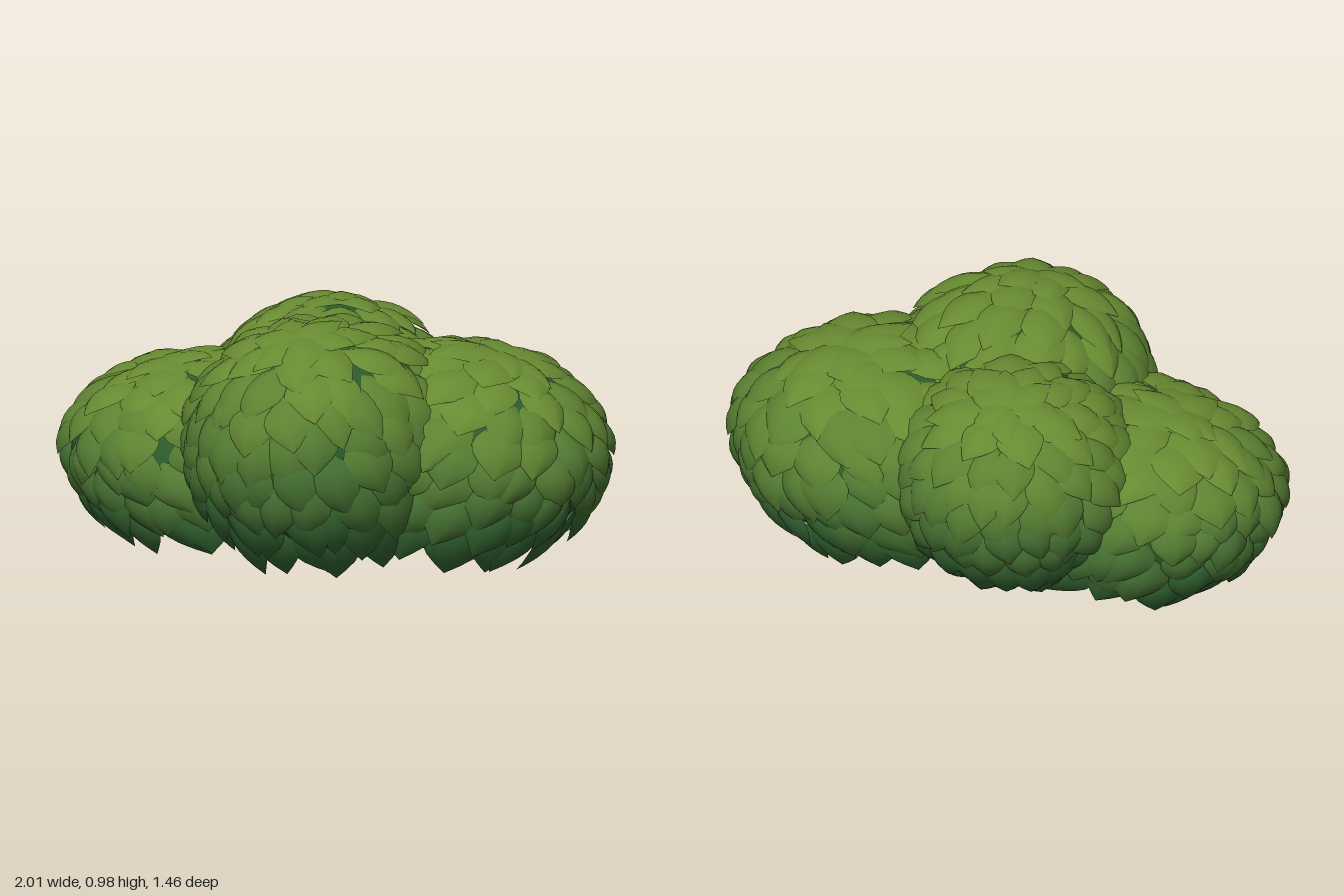
import * as THREE from 'three';
import { mergeGeometries } from 'three/addons/utils/BufferGeometryUtils.js';

// centre, outer radii and growth axis of each foliage lobe
const LOBES = [
  { name: 'frontLobe', c: [0.07, 0.55, 0.2], r: [0.475, 0.425, 0.515], axis: [-0.03, 1, 0.3] },
  { name: 'rightLobe', c: [-0.45, 0.4, 0.01], r: [0.54, 0.34, 0.475], axis: [-0.3, 1, 0.05] },
  { name: 'leftLobe', c: [0.42, 0.475, -0.14], r: [0.565, 0.38, 0.505], axis: [0.3, 1, -0.1] },
  { name: 'backLobe', c: [-0.13, 0.54, -0.28], r: [0.44, 0.37, 0.445], axis: [-0.08, 1, -0.35] },
];
const TINTS = 5;
const FIT = 1.075; // leaves stand this far out from the core
const UP = new THREE.Vector3(0, 1, 0);

let seed = 7;
const rand = () => (seed = (seed * 16807) % 2147483647) / 2147483647;
const jitter = (a) => (rand() - 0.5) * 2 * a;

// a pointed, cambered leaf laid along the lobe surface from a polar position
function leafGeometry(lobe, tilt, theta, phi, length, halfWidth) {
  const d = new THREE.Vector3(Math.sin(theta) * Math.cos(phi), Math.cos(theta), Math.sin(theta) * Math.sin(phi));
  const t = new THREE.Vector3(Math.cos(theta) * Math.cos(phi), -Math.sin(theta), Math.cos(theta) * Math.sin(phi));
  const b = new THREE.Vector3(-Math.sin(phi), 0, Math.cos(phi));
  const turn = jitter(0.22);
  t.applyAxisAngle(d, turn);
  b.applyAxisAngle(d, turn);
  const rise = 0.09 + jitter(0.03);
  const hang = 0.16 * THREE.MathUtils.smoothstep(theta, 1.2, 1.9); // lowest tips leave the surface
  const roll = jitter(0.02);
  const nS = 8, nU = 4, pos = [], index = [];
  for (let i = 0; i <= nS; i++) {
    const s = i / nS;
    const w = halfWidth * Math.pow(Math.sin(Math.PI * s), 1.1) + 0.001;
    for (let j = 0; j <= nU; j++) {
      const u = (j / nU) * 2 - 1;
      const v = d.clone().multiplyScalar(Math.cos(s * length))
        .addScaledVector(t, Math.sin(s * length))
        .addScaledVector(b, u * w).normalize().applyQuaternion(tilt);
      const camber = (0.06 * (1 - Math.abs(u) ** 1.5) + roll * u) * Math.sin(Math.PI * s);
      v.multiplyScalar((0.985 + rise * s + hang * s * s + camber) / FIT);
      pos.push(lobe.c[0] + v.x * lobe.r[0], lobe.c[1] + v.y * lobe.r[1], lobe.c[2] + v.z * lobe.r[2]);
      if (i < nS && j < nU) {
        const a = i * (nU + 1) + j, n = a + nU + 1;
        index.push(a, a + 1, n, a + 1, n + 1, n);
      }
    }
  }
  const g = new THREE.BufferGeometry();
  g.setAttribute('position', new THREE.Float32BufferAttribute(pos, 3));
  g.setIndex(index);
  g.computeVertexNormals();
  // height of the outward direction at mid leaf picks the tint
  const mid = d.clone().addScaledVector(t, length / 2).normalize().applyQuaternion(tilt);
  return { g, height: mid.y };
}

function createLobe(lobe, leafMaterials, coreMaterial) {
  const group = new THREE.Group();
  group.name = lobe.name;
  const tilt = new THREE.Quaternion().setFromUnitVectors(UP, new THREE.Vector3(...lobe.axis).normalize());

  // smooth core, bare underneath
  const core = new THREE.Mesh(new THREE.SphereGeometry(1, 40, 28), coreMaterial);
  core.name = 'foliageCore';
  core.scale.set(...lobe.r).multiplyScalar(1 / FIT);
  core.position.set(...lobe.c);
  group.add(core);

  // overlapping rings of leaves; the first ring crosses the crown
  const bins = Array.from({ length: TINTS }, () => []);
  for (let k = 0; k < 9; k++) {
    const theta = -0.18 + k * 0.25;
    const count = Math.max(6, Math.round((Math.PI * 2 * Math.sin(theta + 0.27)) / 0.28));
    for (let i = 0; i < count; i++) {
      const phi = ((i + (k % 2) / 2) / count) * Math.PI * 2 + jitter(0.04);
      const leaf = leafGeometry(lobe, tilt, theta + jitter(0.05), phi, 0.6 + jitter(0.06), 0.19 + jitter(0.02));
      const bin = Math.floor(((leaf.height + 0.75) / 1.75) * TINTS);
      bins[THREE.MathUtils.clamp(bin, 0, TINTS - 1)].push(leaf.g);
    }
  }
  bins.forEach((list, i) => {
    if (!list.length) return;
    const mesh = new THREE.Mesh(mergeGeometries(list), leafMaterials[i]);
    mesh.name = 'leaves';
    group.add(mesh);
  });
  return group;
}

// a tapered limb between two points
function createBranch(from, to, r0, r1, material) {
  const dir = to.clone().sub(from);
  const mesh = new THREE.Mesh(new THREE.CylinderGeometry(r1, r0, dir.length(), 10), material);
  mesh.position.copy(from).addScaledVector(dir, 0.5);
  mesh.quaternion.setFromUnitVectors(UP, dir.normalize());
  mesh.name = 'branch';
  return mesh;
}

export function createModel() {
  const model = new THREE.Group();
  model.name = 'bush';

  const low = new THREE.Color(0x346632), high = new THREE.Color(0x678a31);
  const leafMaterials = Array.from({ length: TINTS }, (_, i) => new THREE.MeshStandardMaterial({
    color: low.clone().lerp(high, i / (TINTS - 1)), side: THREE.DoubleSide,
  }));
  const coreMaterial = new THREE.MeshStandardMaterial({ color: 0x2d5c2c });
  const bark = new THREE.MeshStandardMaterial({ color: 0x6e4228 });

  // foliage
  for (const lobe of LOBES) model.add(createLobe(lobe, leafMaterials, coreMaterial));

  // short stem splitting into one limb per lobe
  const stem = new THREE.Group();
  stem.name = 'stem';
  const foot = new THREE.Vector3(0.01, 0.02, -0.03);
  for (const lobe of LOBES) {
    const end = new THREE.Vector3(lobe.c[0] * 0.55, 0.34, lobe.c[2] * 0.7 - 0.01);
    stem.add(createBranch(foot, end, 0.03, 0.045, bark));
  }
  const base = new THREE.Mesh(new THREE.CylinderGeometry(0.045, 0.03, 0.05, 10), bark);
  base.name = 'stemBase';
  base.position.set(0.01, 0.025, -0.03);
  stem.add(base);
  model.add(stem);
  return model;
}
